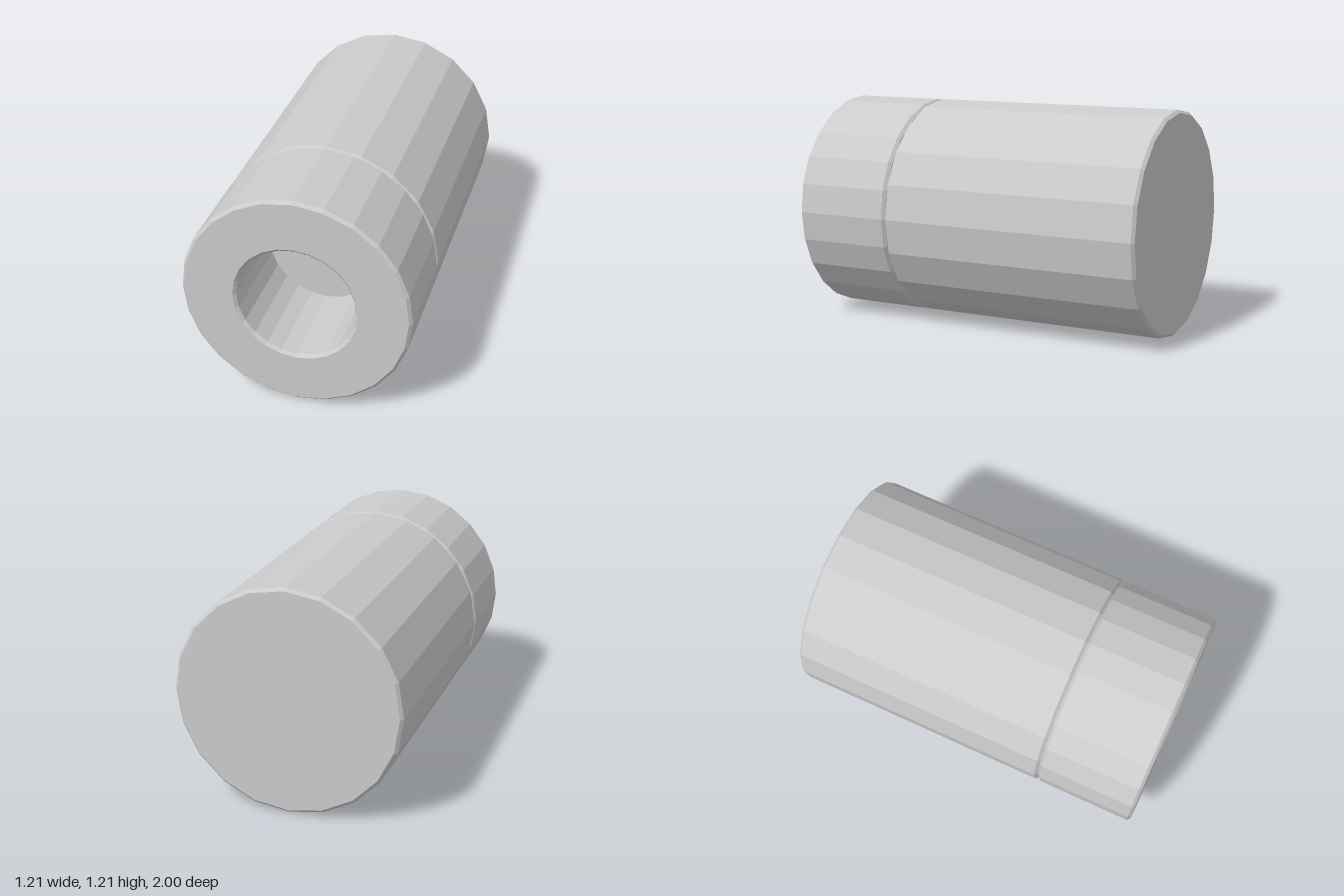
import * as THREE from 'three';

const R = 0.606;      // outer radius
const HOLE = 0.315;   // bore radius
const B = 0.016;      // bevel size
const JOINT = 0.448;  // z where the collar meets the body

// Revolve a [radius, z] profile around the z axis with flat facets
function turned(name, profile, segments) {
  const points = profile.map(([r, z]) => new THREE.Vector2(r, z));
  const geometry = new THREE.LatheGeometry(points, segments);
  geometry.rotateX(Math.PI / 2);
  const mesh = new THREE.Mesh(
    geometry,
    new THREE.MeshStandardMaterial({ color: 0xcccccc, flatShading: true })
  );
  mesh.name = name;
  mesh.position.y = R;
  return mesh;
}

export function createModel() {
  const group = new THREE.Group();
  group.name = 'boredCylinder';

  // Solid rear body with bevelled rims
  group.add(turned('body', [
    [0, -1], [R - B, -1], [R, -1 + B],
    [R, JOINT - B], [R - B, JOINT], [0, JOINT],
  ], 20));

  // Front collar with a bevelled bore, closed at the back by the body
  group.add(turned('collar', [
    [HOLE + B, JOINT], [R - B, JOINT], [R, JOINT + B],
    [R, 1 - B], [R - B, 1], [HOLE + B, 1],
    [HOLE, 1 - B], [HOLE, JOINT + B], [HOLE + B, JOINT],
  ], 24));

  return group;
}
